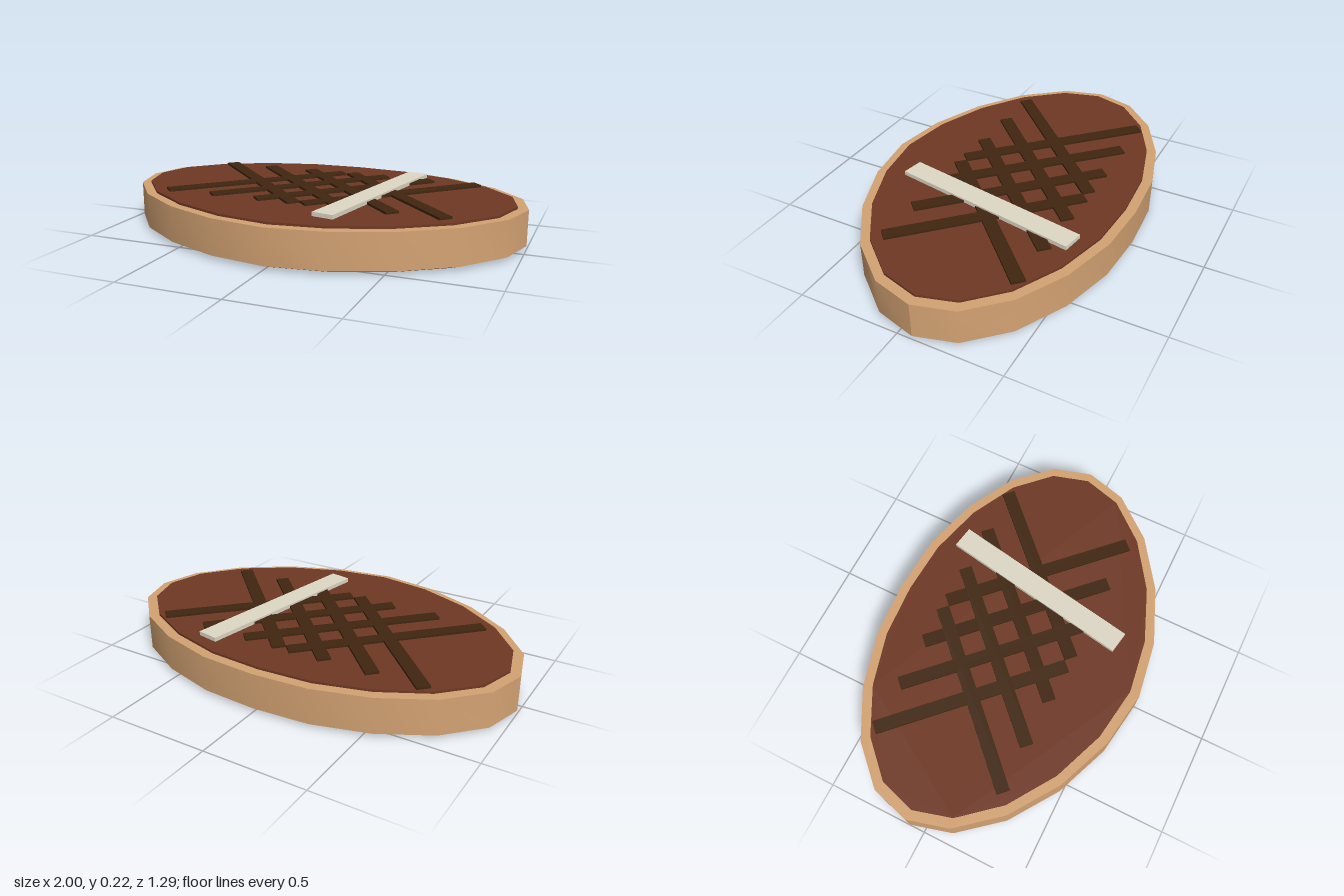
import * as THREE from 'three';
import { toCreasedNormals } from 'three/addons/utils/BufferGeometryUtils.js';

// Right half of the oval outline, from back to front, as [x, z]
const HALF = [
  [0, -0.648], [0.275, -0.63], [0.545, -0.555], [0.78, -0.43], [0.945, -0.26], [1, -0.07],
  [0.945, 0.13], [0.78, 0.33], [0.545, 0.492], [0.275, 0.6], [0, 0.642],
];

const mat = (name, color) => Object.assign(new THREE.MeshStandardMaterial({ color }), { name });

// Solid oval between two heights, scaled about its middle
function oval(sx, sz, bottom, top) {
  const right = HALF.map(([x, z]) => new THREE.Vector2(x * sx, -0.007 + (z + 0.003) * sz));
  const left = right.slice(1, -1).reverse().map((p) => new THREE.Vector2(-p.x, p.y));
  const shape = new THREE.Shape([...right, ...left]);
  const geo = new THREE.ExtrudeGeometry(shape, { depth: top - bottom, bevelEnabled: false });
  geo.rotateX(Math.PI / 2).translate(0, top, 0);
  return toCreasedNormals(geo, Math.PI / 6);
}

export function createModel() {
  const model = new THREE.Group();
  const crust = mat('tan crust', 0xd4a373);
  const filling = mat('brown filling', 0x6f3824);
  const dark = mat('dark brown', 0x402610);
  const pale = mat('pale cream', 0xded8c6);

  const add = (name, geo, material, parent = model) => {
    const mesh = new THREE.Mesh(geo, material);
    mesh.name = name;
    parent.add(mesh);
    return mesh;
  };

  // Outer body, with a slightly taller core showing above and below
  add('body', oval(1, 1, 0.018, 0.191), crust);
  add('core', oval(0.95, 0.926, 0, 0.202), filling);

  // Crossed diagonal bars
  const lattice = new THREE.Group();
  lattice.name = 'lattice';
  model.add(lattice);
  const barGeo = new THREE.BoxGeometry(0.953, 0.02, 0.064);
  for (const turn of [-1, 1]) {
    for (const x of [-0.36, -0.12, 0.12, 0.36]) {
      const bar = add('latticeBar', barGeo, dark, lattice);
      bar.position.set(x, 0.203, -0.07);
      bar.rotation.y = turn * Math.PI / 4;
    }
  }

  // Pale strip laid across the top
  const strip = add('strip', new THREE.BoxGeometry(0.107, 0.021, 0.955), pale);
  strip.position.set(0.277, 0.2115, -0.028);
  strip.rotation.y = -0.177;

  return model;
}
